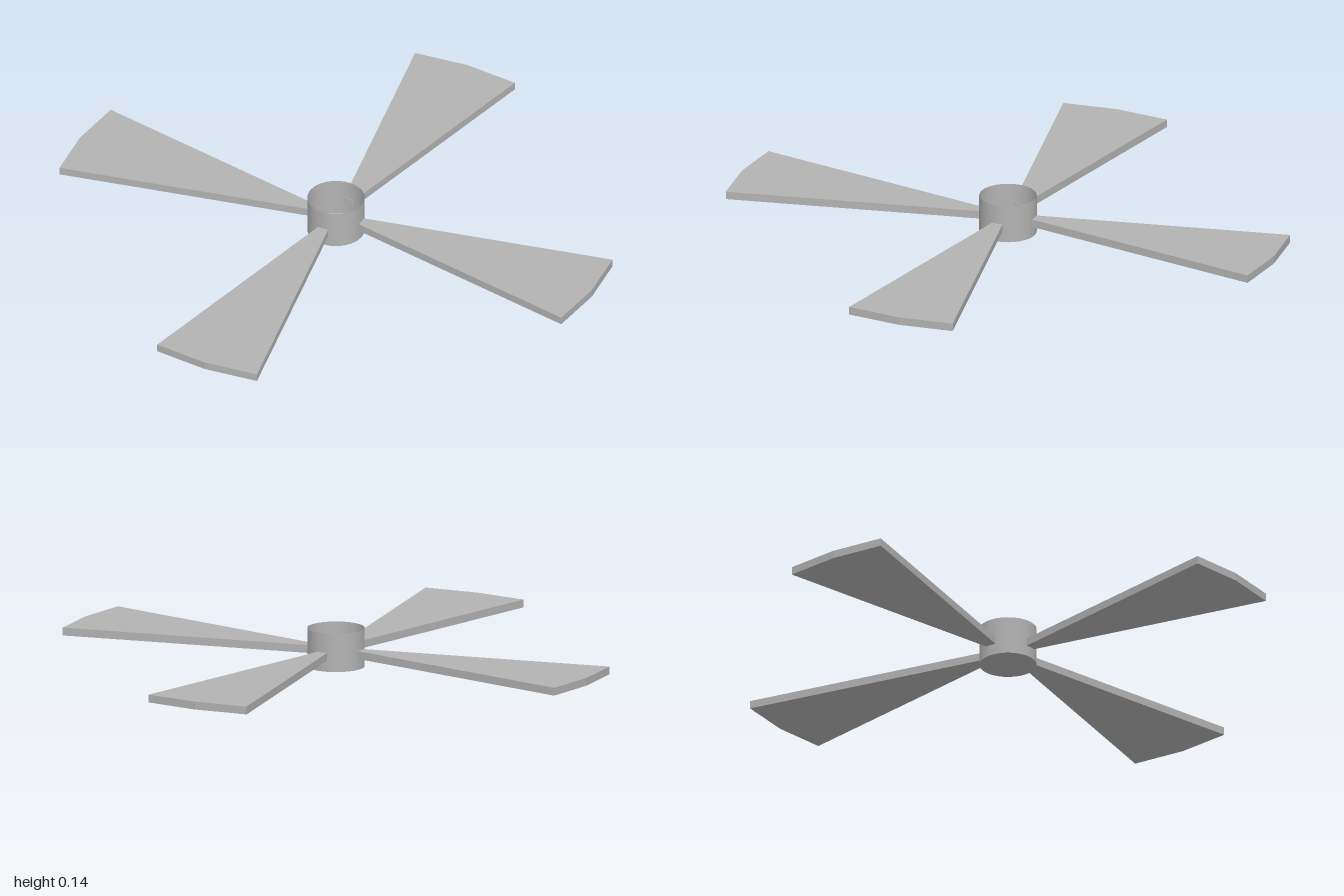
import * as THREE from 'three';

const HUB_RADIUS = 0.1;
const HUB_HEIGHT = 0.136;
const BLADE_BOTTOM = 0.039;
const BLADE_THICKNESS = 0.028;
const HALF_ANGLE = Math.PI / 16;

export function createModel() {
  const model = new THREE.Group();
  model.name = 'rotor';

  const grey = new THREE.MeshStandardMaterial({ color: 0xb3b3b3, side: THREE.DoubleSide });
  grey.name = 'grey';

  // Hub: thin open-topped cup
  const hub = new THREE.Group();
  hub.name = 'hub';
  const wall = new THREE.Mesh(
    new THREE.CylinderGeometry(HUB_RADIUS, HUB_RADIUS, HUB_HEIGHT, 32, 1, true), grey);
  wall.name = 'hubWall';
  wall.position.y = HUB_HEIGHT / 2;
  const floor = new THREE.Mesh(new THREE.CircleGeometry(HUB_RADIUS, 32), grey);
  floor.name = 'hubFloor';
  floor.rotation.x = Math.PI / 2;
  hub.add(wall, floor);
  model.add(hub);

  // Blade: flat wedge widening to a two-facet tip
  const at = (r, a) => new THREE.Vector2(r * Math.cos(a), r * Math.sin(a));
  const outline = new THREE.Shape([
    at(0.099, -HALF_ANGLE), at(1, -HALF_ANGLE), at(1, 0),
    at(1, HALF_ANGLE), at(0.099, HALF_ANGLE),
  ]);
  const bladeGeometry = new THREE.ExtrudeGeometry(outline, {
    depth: BLADE_THICKNESS, bevelEnabled: false,
  });
  bladeGeometry.rotateX(-Math.PI / 2);
  bladeGeometry.translate(0, BLADE_BOTTOM, 0);

  for (let i = 0; i < 4; i++) {
    const blade = new THREE.Mesh(bladeGeometry, grey);
    blade.name = `blade${i + 1}`;
    blade.rotation.y = (i * Math.PI) / 2;
    model.add(blade);
  }
  return model;
}
